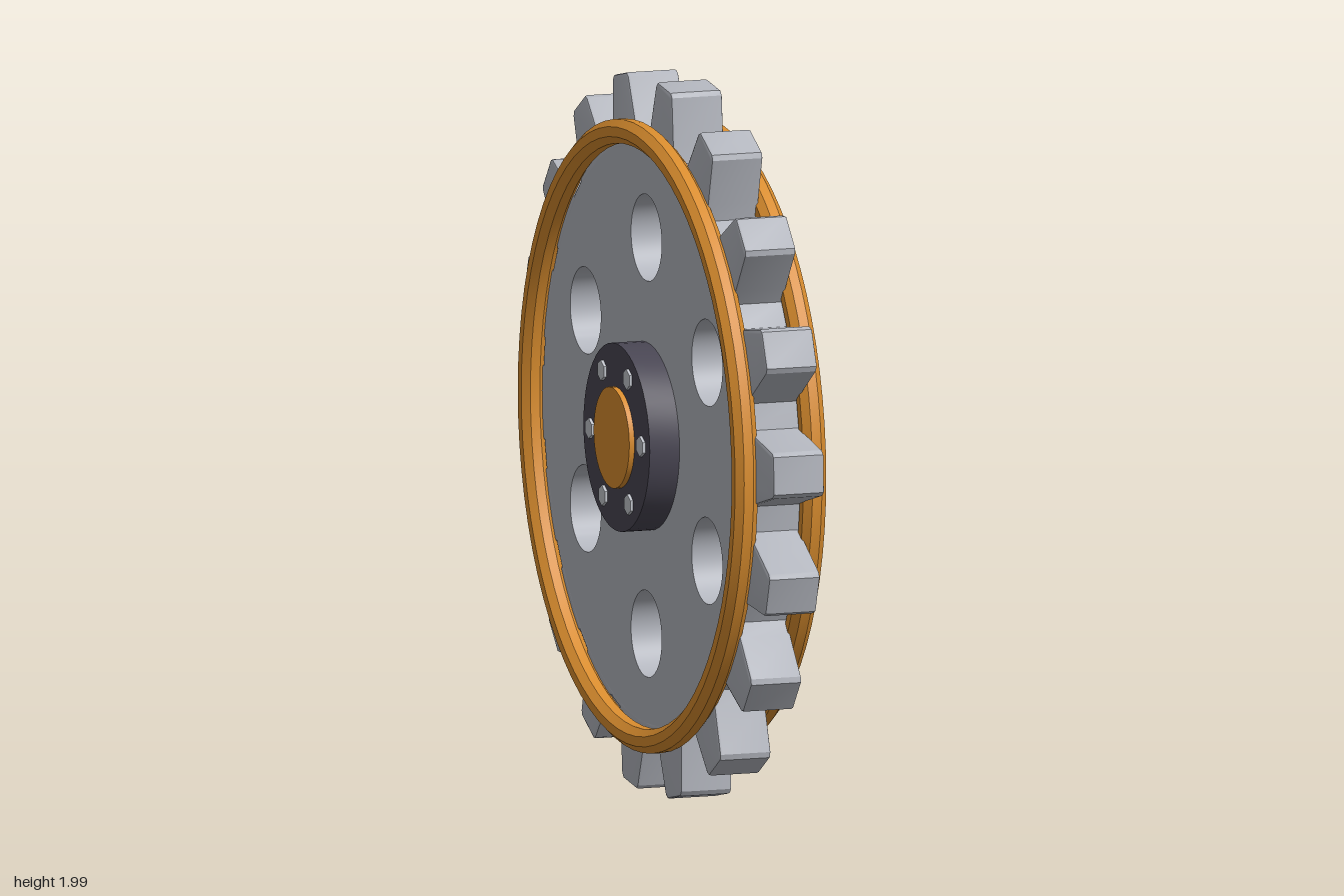
import * as THREE from 'three';
import { toCreasedNormals } from 'three/addons/utils/BufferGeometryUtils.js';

const paint = (name, color) => {
  const m = new THREE.MeshStandardMaterial({ color });
  m.name = name;
  return m;
};

export function createModel() {
  const steel = paint('steel', 0xb2b5bd);
  const orange = paint('orange', 0xd88c2e);
  const dark = paint('dark hub', 0x484552);
  const bright = paint('bolt metal', 0xc2c5cc);

  // The wheel is built around z, then turned so its axle lies along x
  const wheel = new THREE.Group();
  wheel.name = 'sprocketWheel';
  const add = (name, geometry, material, z = 0) => {
    const mesh = new THREE.Mesh(toCreasedNormals(geometry, 0.5), material);
    mesh.name = name;
    mesh.position.z = z;
    wheel.add(mesh);
    return mesh;
  };
  const rad = THREE.MathUtils.degToRad;
  const polar = (r, deg) => new THREE.Vector2(r * Math.cos(rad(deg)), r * Math.sin(rad(deg)));
  const circle = (r, c = new THREE.Vector2()) => new THREE.Path().absarc(c.x, c.y, r, 0, Math.PI * 2, true);

  // Toothed rim: tapered teeth with softened tips and bevelled edges
  const TEETH = 18, HALF = 0.075, BEVEL = 0.008;
  const toothProfile = [[0.815, -7.4], [0.86, -6.2], [0.986, -3.7], [0.997, -3.0],
    [0.997, 3.0], [0.986, 3.7], [0.86, 6.2], [0.815, 7.4]];
  const outline = [];
  for (let i = 0; i < TEETH; i++) {
    const mid = 97.8 + (i * 360) / TEETH;
    for (const [r, a] of toothProfile) outline.push(polar(r, mid + a));
  }
  const rim = new THREE.Shape(outline);
  rim.holes.push(circle(0.79));
  const rimGeo = new THREE.ExtrudeGeometry(rim, {
    depth: 2 * (HALF - BEVEL), curveSegments: 32, bevelThickness: BEVEL,
    bevelSize: BEVEL, bevelOffset: -BEVEL, bevelSegments: 2,
  });
  add('toothedRim', rimGeo.translate(0, 0, BEVEL - HALF), steel);

  // Web disc with six lightening holes
  const web = new THREE.Shape().absarc(0, 0, 0.805, 0, Math.PI * 2, false);
  for (let i = 0; i < 6; i++) web.holes.push(circle(0.12, polar(0.55, 30 + i * 60)));
  const webGeo = new THREE.ExtrudeGeometry(web, { depth: 2 * HALF, bevelEnabled: false, curveSegments: 32 });
  add('webDisc', webGeo.translate(0, 0, -HALF), steel);

  // Octagonal section shared by both side rings
  const section = [];
  for (let i = 0; i <= 8; i++) {
    section.push(polar(0.036, -22.5 + i * 45).add(new THREE.Vector2(0.838, 0)));
  }

  for (const side of [-1, 1]) {
    const label = side > 0 ? 'left' : 'right';
    add(label + 'Ring', new THREE.LatheGeometry(section, 72).rotateX(Math.PI / 2), orange, side * 0.1);

    // Discs stacked outward from the web
    const disc = (name, r, from, to, sides, material) =>
      add(label + name, new THREE.CylinderGeometry(r, r, to - from, sides).rotateX(Math.PI / 2),
        material, side * (from + to) / 2);
    disc('HubFlange', 0.26, 0.06, 0.162, 48, dark);
    disc('AxleCap', 0.14, 0.14, 0.177, 40, orange);

    // Ring of hexagonal bolts
    for (let i = 0; i < 6; i++) {
      const bolt = disc('Bolt', 0.029, 0.15, 0.17, 6, bright);
      const p = polar(0.2, -1.5 + i * 60);
      bolt.position.x = p.x;
      bolt.position.y = p.y;
    }
  }

  wheel.rotation.y = Math.PI / 2;
  wheel.position.y = 1;
  const model = new THREE.Group();
  model.name = 'sprocket';
  model.add(wheel);
  return model;
}
